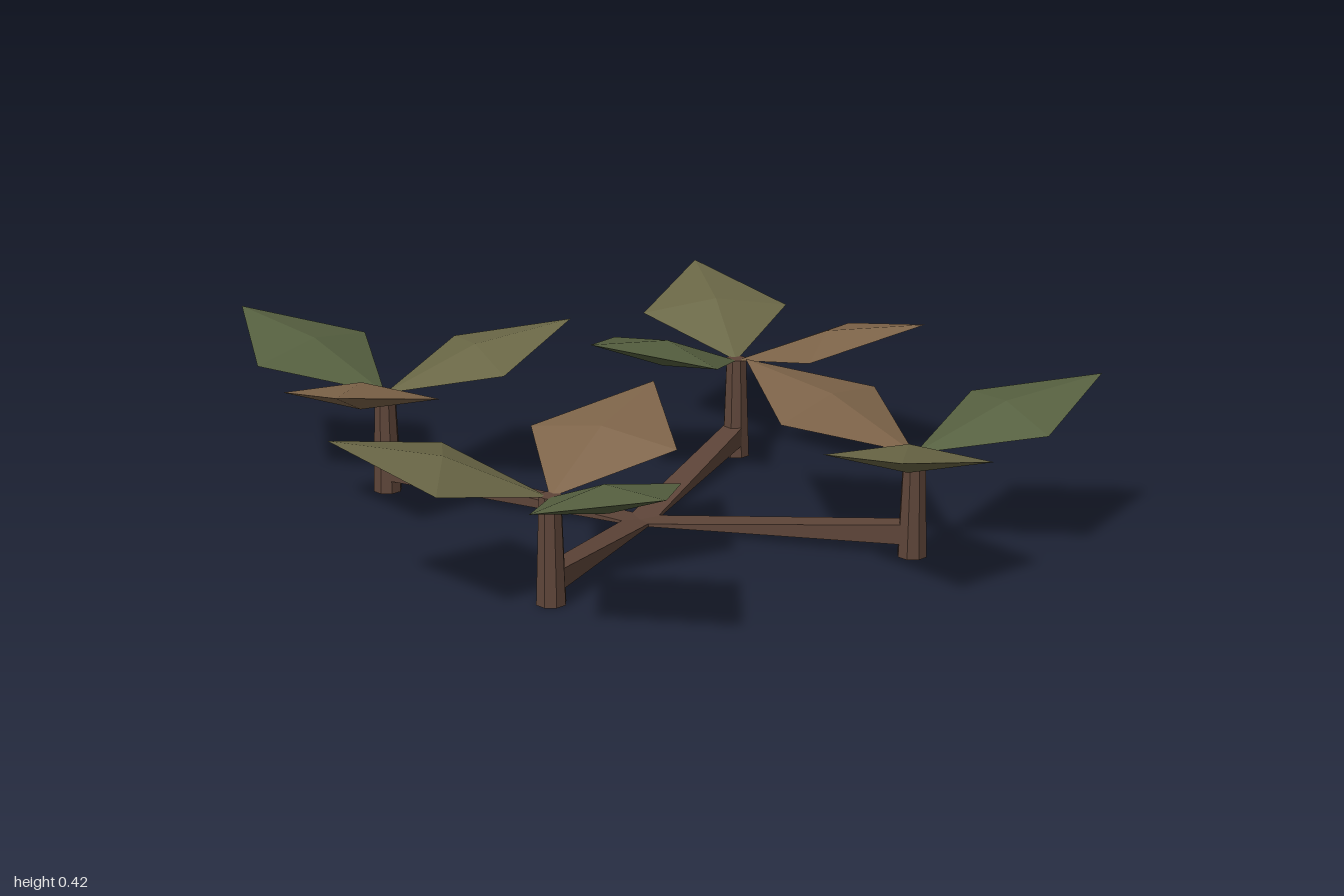
import * as THREE from 'three';

const mat = (color) => new THREE.MeshStandardMaterial({ color, flatShading: true, roughness: 0.9 });

// Flattened four-sided leaf: base at the origin, tip rising along +x
function leafGeometry() {
  const length = 0.55, tilt = Math.atan2(0.15, 0.53);
  const g = new THREE.OctahedronGeometry(1, 0);
  g.scale(length / 2, 0.035, 0.207);
  g.translate(length / 2, 0, 0);
  g.rotateZ(tilt);
  return g;
}

// Tapered bar lofted between two rectangular sections: flat at the hub, taller at the stem
function branchGeometry(length) {
  const g = new THREE.BoxGeometry(length, 1, 1);
  g.translate(length / 2, 0, 0);
  const p = g.attributes.position;
  for (let i = 0; i < p.count; i++) {
    const outer = p.getX(i) > length / 2;
    const top = p.getY(i) > 0;
    p.setY(i, outer ? (top ? 0.09 : 0.036) : (top ? 0.006 : 0.001));
    p.setZ(i, p.getZ(i) * (outer ? 0.055 : 0.075));
  }
  g.computeVertexNormals();
  return g;
}

export function createModel() {
  const model = new THREE.Group();
  model.name = 'branchingPlant';

  const bark = mat(0x5d4438);
  const green = mat(0x566040), olive = mat(0x6a6746), brown = mat(0x7e6449);
  const leafGeo = leafGeometry();
  const stemGeo = new THREE.CylinderGeometry(0.029, 0.039, 0.278, 8);
  const hub = new THREE.Vector2(-0.08, -0.02);

  // Each plant: stem position, turn of its first leaf, leaf colours in order
  const plants = [
    { x: -0.615, z: -0.513, turn: 0, colors: [olive, brown, green] },
    { x: 0.372, z: -0.438, turn: 40, colors: [brown, green, olive] },
    { x: -0.495, z: 0.443, turn: 80, colors: [green, olive, brown] },
    { x: 0.467, z: 0.473, turn: 0, colors: [green, olive, brown] },
  ];

  for (const { x, z, turn, colors } of plants) {
    const plant = new THREE.Group();
    plant.name = 'plant';
    plant.position.set(x, 0, z);

    const stem = new THREE.Mesh(stemGeo, bark);
    stem.name = 'stem';
    stem.position.y = 0.139;
    plant.add(stem);

    // Three leaves evenly spread around the stem top
    colors.forEach((material, i) => {
      const leaf = new THREE.Mesh(leafGeo, material);
      leaf.name = 'leaf';
      leaf.position.y = 0.272;
      leaf.rotation.y = -THREE.MathUtils.degToRad(turn + i * 120);
      plant.add(leaf);
    });
    model.add(plant);

    // Runner joining this stem to the shared hub on the ground
    const dx = x - hub.x, dz = z - hub.y;
    const branch = new THREE.Mesh(branchGeometry(Math.hypot(dx, dz)), bark);
    branch.name = 'runner';
    branch.position.set(hub.x, 0, hub.y);
    branch.rotation.y = -Math.atan2(dz, dx);
    model.add(branch);
  }
  return model;
}
